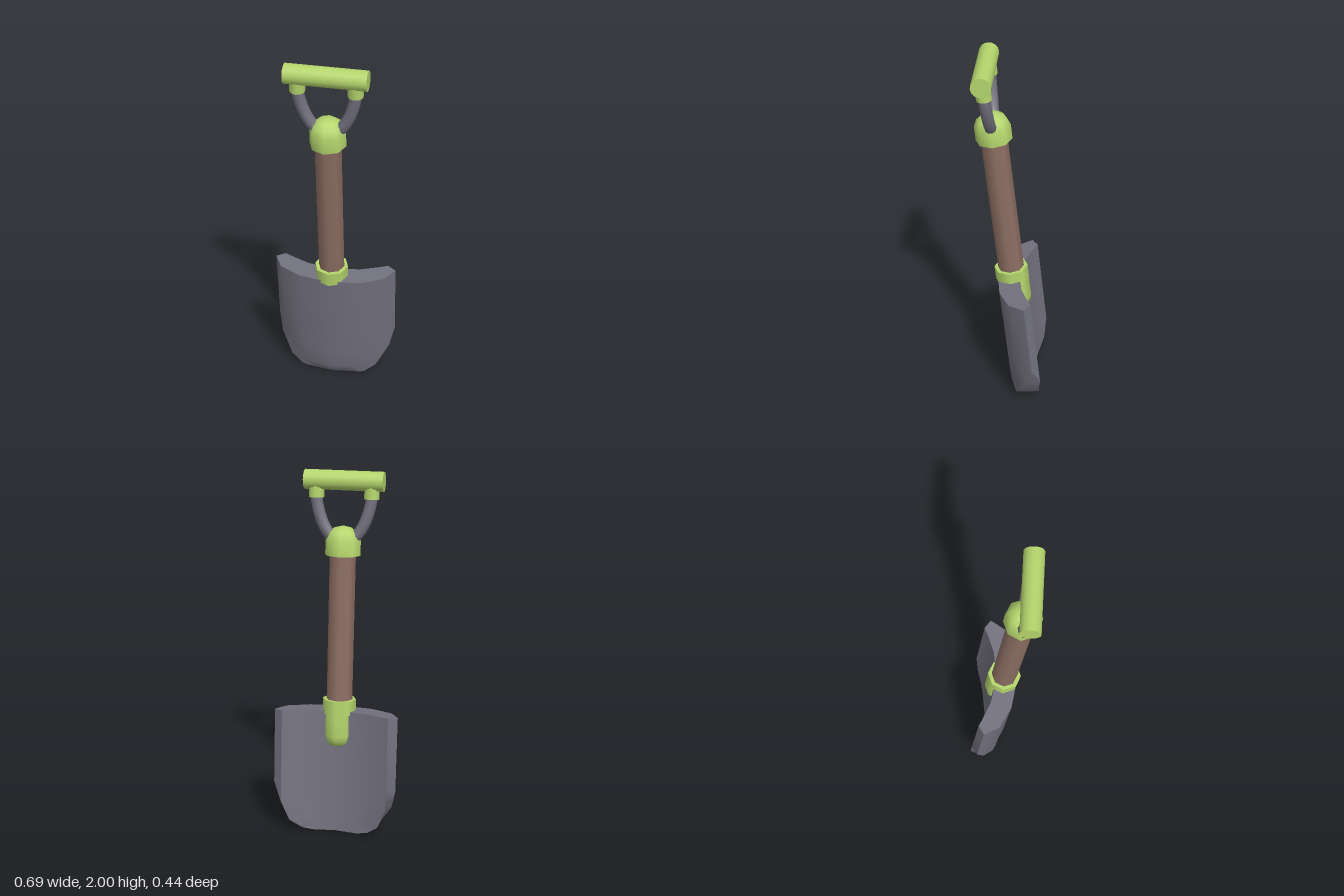
import * as THREE from 'three';
import { toCreasedNormals } from 'three/addons/utils/BufferGeometryUtils.js';

const mat = (name, color) => {
  const m = new THREE.MeshStandardMaterial({ color });
  m.name = name;
  return m;
};

// piecewise linear lookup of depth by distance from the centre line
function lookup(table, u) {
  const x = Math.abs(u);
  for (let i = 1; i < table.length; i++) {
    const [x0, z0] = table[i - 1], [x1, z1] = table[i];
    if (x <= x1 || i === table.length - 1) return z0 + (z1 - z0) * (x - x0) / (x1 - x0);
  }
}

// thick curved plate: one closed ring of points per height
function bladeGeometry() {
  const front = [[0, 0.08], [0.17, 0.057], [0.295, -0.005], [0.343, -0.09]];
  const inner = [[0, -0.04], [0.172, -0.065], [0.295, -0.123]];
  const cols = [-1, -0.86, -0.5, 0, 0.5, 0.86, 1];
  // height, half width, front bevel
  const rows = [
    [-0.02, 0.343, 0], [-0.44, 0.343, 0], [-0.545, 0.318, 0],
    [-0.655, 0.25, 0], [-0.703, 0.185, 0.012], [-0.715, 0.12, 0.025],
  ];
  const pos = [], idx = [], m = cols.length, n = 2 * m;
  for (const [y, h, bevel] of rows) {
    for (const c of cols) pos.push(c * h, y, lookup(front, c * h) - bevel);
    const k = Math.min(h, 0.295);
    for (const c of cols) pos.push(-c * k, y, lookup(inner, c * k));
  }
  const quad = (a, b, c, d) => idx.push(a, b, c, a, c, d);
  for (let i = 0; i < rows.length - 1; i++)
    for (let j = 0; j < n; j++) {
      const k = (j + 1) % n;
      quad(i * n + j, (i + 1) * n + j, (i + 1) * n + k, i * n + k);
    }
  const e = (rows.length - 1) * n;
  for (let j = 0; j < m - 1; j++) {
    quad(j, j + 1, n - 2 - j, n - 1 - j);
    quad(e + n - 1 - j, e + n - 2 - j, e + j + 1, e + j);
  }
  const g = new THREE.BufferGeometry();
  g.setAttribute('position', new THREE.Float32BufferAttribute(pos, 3));
  g.setIndex(idx);
  return toCreasedNormals(g, 0.65);
}

// eight-sided turned part from [radius, height] pairs, bottom to top
const turned = (pts) =>
  toCreasedNormals(new THREE.LatheGeometry(pts.map(([r, y]) => new THREE.Vector2(r, y)), 8), 0.9);

export function createModel() {
  const steel = mat('grey steel', 0x72717e);
  const green = mat('green plastic', 0xb4d56c);
  const wood = mat('brown wood', 0x8c6e62);

  const model = new THREE.Group();
  model.name = 'shovel';

  // everything is built along a shaft axis that leans and turns slightly
  const body = new THREE.Group();
  body.name = 'tiltedBody';
  body.position.set(0.012, 0.72, 0);
  body.rotation.set(0.11, 0.14, 0, 'YXZ');
  model.add(body);

  const add = (name, geo, material, x = 0, y = 0, z = 0) => {
    const mesh = new THREE.Mesh(geo, material);
    mesh.name = name;
    mesh.position.set(x, y, z);
    body.add(mesh);
    return mesh;
  };

  add('blade', bladeGeometry(), steel);

  // socket behind the blade and its collar
  add('socket', turned([[0, -0.225], [0.05, -0.217], [0.074, -0.19], [0.08, -0.16], [0.08, 0.0], [0, 0.0]]),
    green, 0, 0, -0.012);
  add('lowerCollar', new THREE.CylinderGeometry(0.093, 0.093, 0.08, 8), green, 0, 0.002, 0);

  add('shaft', new THREE.CylinderGeometry(0.072, 0.072, 0.86, 8), wood, 0, 0.44, 0);

  // domed cap at the top of the shaft
  add('upperCollar', turned([[0, 0.838], [0.097, 0.838], [0.097, 0.92], [0.08, 0.96], [0.05, 0.985], [0, 0.998]]), green);

  // forked yoke with a ferrule at each end
  for (const s of [1, -1]) {
    const side = s > 0 ? 'left' : 'right';
    const path = new THREE.CatmullRomCurve3(
      [[0.15, 1.19], [0.148, 1.13], [0.122, 1.03], [0.085, 0.96], [0.03, 0.9]]
        .map(([x, y]) => new THREE.Vector3(s * x, y, 0)));
    add(side + 'YokeArm', new THREE.TubeGeometry(path, 14, 0.032, 10), steel);
    add(side + 'Ferrule', new THREE.CylinderGeometry(0.041, 0.041, 0.07, 10), green, s * 0.15, 1.178, 0);
  }

  const grip = add('grip', new THREE.CylinderGeometry(0.053, 0.053, 0.43, 16), green, 0, 1.237, 0);
  grip.rotation.z = Math.PI / 2;

  return model;
}
